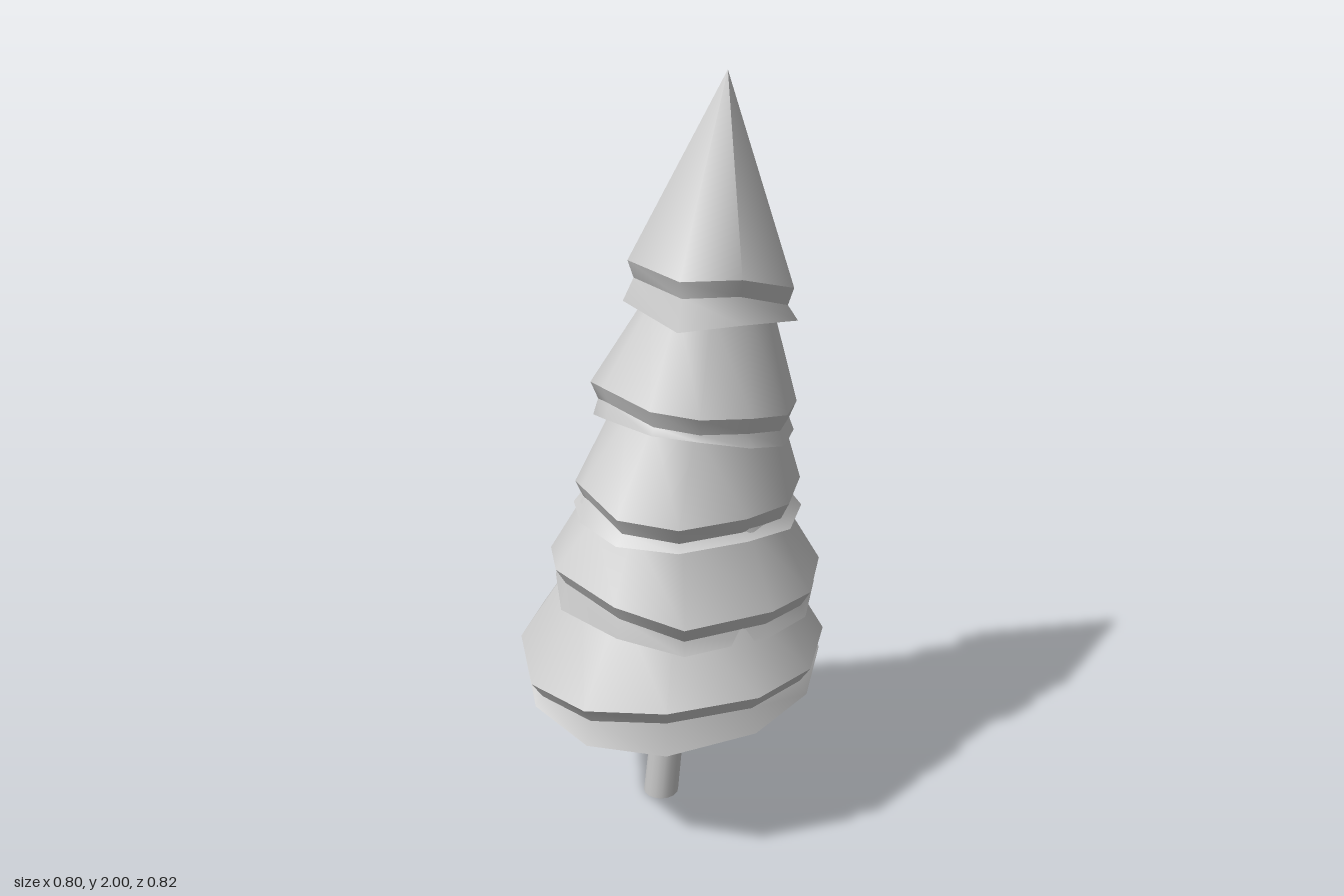
import * as THREE from 'three';
import { mergeGeometries } from 'three/addons/utils/BufferGeometryUtils.js';

const material = new THREE.MeshStandardMaterial({ color: 0xcccccc });

// Smooth strip between two closed rings, upper first; separate strips keep their shared edge sharp.
function band(upper, lower) {
  const n = upper.length, index = [];
  for (let i = 0; i < n; i++) {
    const j = (i + 1) % n;
    index.push(i, j, n + i, j, n + j, n + i);
  }
  const g = new THREE.BufferGeometry().setFromPoints([...upper, ...lower]);
  g.setIndex(index);
  g.computeVertexNormals();
  return g;
}

// One layer of branches: sloping cone, undercut below its rim, flared skirt and closed underside.
// rim holds [x, y, z] corners; drops gives how far the skirt hangs below each corner.
function tier({ name, top, topRadius, rim, drops, flare }) {
  const outer = rim.map(p => new THREE.Vector3(...p));
  const centre = outer.reduce((s, p) => s.add(p), new THREE.Vector3()).divideScalar(outer.length);
  const scaled = (scale, drop) => outer.map((p, i) => new THREE.Vector3(
    centre.x + (p.x - centre.x) * scale, p.y - drop(i), centre.z + (p.z - centre.z) * scale));
  const upper = outer.map(p => {
    const a = Math.atan2(p.z - centre.z, p.x - centre.x);
    return new THREE.Vector3(top[0] + topRadius * Math.cos(a), top[1], top[2] + topRadius * Math.sin(a));
  });
  const inner = scaled(0.93, () => 0.045);
  const skirt = scaled(flare, i => drops[i % drops.length]);
  const baseY = skirt.reduce((s, p) => s + p.y, 0) / skirt.length;
  const hub = skirt.map(() => new THREE.Vector3(centre.x, baseY, centre.z));
  const mesh = new THREE.Mesh(mergeGeometries([
    band(upper, outer), band(outer, inner), band(inner, skirt), band(skirt, hub),
  ]), material);
  mesh.name = name;
  return mesh;
}

export function createModel() {
  const tree = new THREE.Group();
  tree.name = 'tree';

  // Leaning trunk
  const foot = new THREE.Vector3(-0.005, 0, 0.028), head = new THREE.Vector3(0.012, 0.5, -0.022);
  const trunkGeometry = new THREE.CylinderGeometry(0.043, 0.049, 0.5, 16);
  trunkGeometry.translate(0, 0.25, 0);
  // Shear the cylinder so the foot stays level with the ground
  const pos = trunkGeometry.attributes.position;
  for (let i = 0; i < pos.count; i++) {
    const t = pos.getY(i) / 0.5;
    pos.setX(i, pos.getX(i) + THREE.MathUtils.lerp(foot.x, head.x, t));
    pos.setZ(i, pos.getZ(i) + THREE.MathUtils.lerp(foot.z, head.z, t));
  }
  const trunk = new THREE.Mesh(trunkGeometry, material);
  trunk.name = 'trunk';
  tree.add(trunk);

  // Tip
  tree.add(tier({
    name: 'tipBranches', top: [0.045, 2, -0.16], topRadius: 0, flare: 1.06,
    rim: [[0.222, 1.54, -0.02], [0.1, 1.53, 0.07], [-0.095, 1.545, 0.05],
      [-0.145, 1.48, -0.175], [0.03, 1.45, -0.305], [0.215, 1.475, -0.23]],
    drops: [0.11, 0.125, 0.105, 0.08, 0.07, 0.085],
  }));

  // Upper layer
  tree.add(tier({
    name: 'upperBranches', top: [0.045, 1.45, -0.1], topRadius: 0.155, flare: 0.98,
    rim: [[0.27, 1.2, -0.01], [0.2, 1.21, 0.105], [0.09, 1.22, 0.165], [-0.07, 1.245, 0.17],
      [-0.175, 1.22, 0.11], [-0.195, 1.23, -0.01], [-0.165, 1.2, -0.17], [-0.06, 1.18, -0.28],
      [0.08, 1.17, -0.315], [0.22, 1.17, -0.25], [0.285, 1.18, -0.13]],
    drops: [0.08, 0.06, 0.065, 0.085, 0.09, 0.08, 0.06, 0.075, 0.08, 0.08, 0.085],
  }));

  // Middle layer
  tree.add(tier({
    name: 'middleBranches', top: [0.035, 1.17, -0.07], topRadius: 0.21, flare: 1.02,
    rim: [[0.295, 0.95, 0.03], [0.21, 0.945, 0.19], [0.07, 0.955, 0.265], [-0.07, 1.0, 0.25],
      [-0.21, 0.94, 0.14], [-0.272, 0.955, 0.02], [-0.245, 0.955, -0.135], [-0.17, 0.94, -0.25],
      [-0.055, 0.95, -0.315], [0.1, 0.94, -0.31], [0.24, 0.96, -0.25], [0.3, 0.94, -0.13]],
    drops: [0.06, 0.06, 0.07, 0.1, 0.06, 0.075, 0.075, 0.06, 0.08, 0.07, 0.08, 0.07],
  }));

  // Lower layer
  tree.add(tier({
    name: 'lowerBranches', top: [0.02, 0.91, -0.03], topRadius: 0.26, flare: 0.97,
    rim: [[0.36, 0.7, 0], [0.275, 0.71, 0.24], [0.1, 0.74, 0.31], [-0.1, 0.78, 0.32],
      [-0.26, 0.745, 0.19], [-0.342, 0.76, 0], [-0.335, 0.74, -0.15], [-0.225, 0.73, -0.285],
      [-0.07, 0.74, -0.358], [0.1, 0.745, -0.352], [0.28, 0.72, -0.295], [0.365, 0.7, -0.15]],
    drops: [0.08, 0.08, 0.095, 0.12, 0.08, 0.085, 0.07, 0.07, 0.07, 0.08, 0.07, 0.075],
  }));

  // Bottom layer
  tree.add(tier({
    name: 'bottomBranches', top: [0.01, 0.71, -0.02], topRadius: 0.285, flare: 0.98,
    rim: [[0.4, 0.505, 0.095], [0.275, 0.5, 0.305], [0.085, 0.475, 0.408], [-0.12, 0.465, 0.4],
      [-0.3, 0.49, 0.275], [-0.402, 0.49, 0.095], [-0.402, 0.47, -0.115], [-0.29, 0.475, -0.3],
      [-0.1, 0.5, -0.41], [0.115, 0.51, -0.41], [0.3, 0.51, -0.3], [0.402, 0.5, -0.115]],
    drops: [0.11, 0.13, 0.108, 0.07, 0.055, 0.085, 0.08, 0.075, 0.06, 0.05, 0.06, 0.08],
  }));

  return tree;
}
